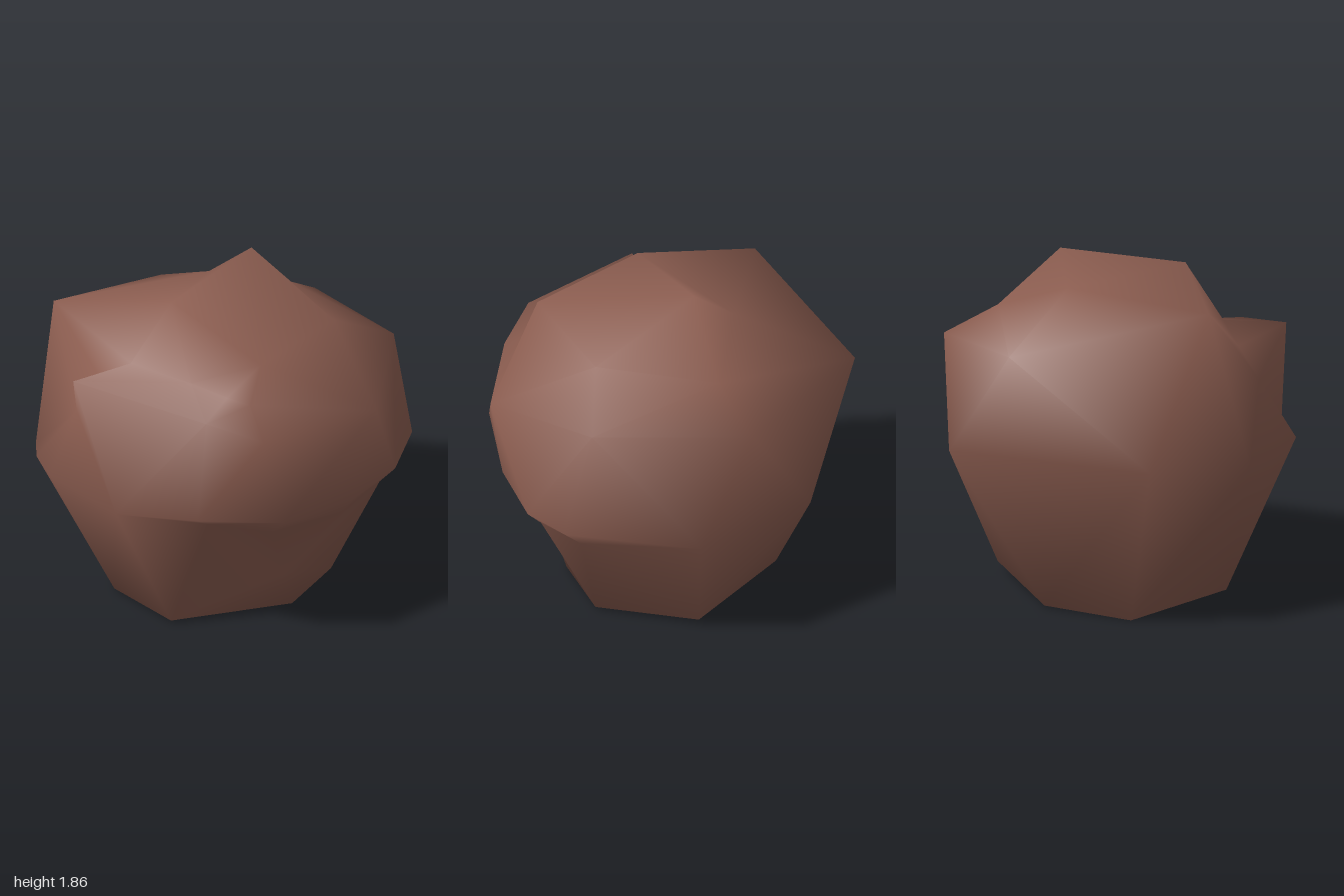
import * as THREE from 'three';
import { ConvexGeometry } from 'three/addons/geometries/ConvexGeometry.js';
import { mergeVertices } from 'three/addons/utils/BufferGeometryUtils.js';

const stone = new THREE.MeshStandardMaterial({ color: 0x8a5c4f });
stone.name = 'brownStone';

// Corners of the boulder, in bands from the ground up
const base = [
  [0.44, 0.02, 0.51], [0.7, 0.05, -0.02], [0.27, 0.01, -0.59], [-0.22, 0, -0.69],
  [-0.64, 0.01, -0.13], [-0.58, 0.02, 0.32], [0.05, 0.01, 0.61], [-0.1, 0.32, 0.69],
];
// Undercut below the front lip
const undercut = [
  [0.75, 0.75, 0.62], [0.5, 0.72, 0.79], [0.13, 0.72, 0.88], [-0.32, 0.76, 0.84], [-0.52, 0.76, 0.58],
  [-0.88, 0.81, 0.27],
];
// Lip round the front, continuing as the widest line at the back
const waist = [
  [1, 0.81, 0.05], [0.82, 0.88, 0.71], [0.54, 0.82, 0.86], [0.15, 0.82, 0.94], [-0.34, 0.88, 0.95],
  [-0.68, 0.9, 0.69], [-1, 0.89, -0.15], [-0.93, 0.87, -0.39], [-0.81, 0.82, -0.59],
  [-0.37, 0.86, -0.98], [0.78, 0.83, -0.59],
];
const shoulder = [
  [0.92, 1.4, -0.22], [0.79, 1.43, 0.55], [0.24, 1.33, 0.98], [0.34, 1.4, -0.94],
  [-0.6, 1.6, -0.65], [0.64, 1.55, -0.12],
];
// Stepped ledge on one side, and the crevice that parts it from the rest
const ledge = [[-0.92, 1.48, 0], [-0.6, 1.41, 0.66]];
const crevice = [
  [-0.38, 1.3, 0.83], [-0.29, 1.39, 0.62], [-0.35, 1.41, 0.52], [-0.43, 1.44, 0.33],
  [-0.58, 1.48, 0.02], [-0.68, 1.36, -0.1], [-0.8, 1.2, -0.17],
];
const crown = [
  [0.3, 1.86, -0.07], [-0.36, 1.78, 0.08], [-0.25, 1.61, 0.65], [0.2, 1.67, -0.31], [0.42, 1.59, 0.46],
];

// Connects the corners on a unit sphere, then moves each back to its true place
function boulderGeometry(corners, centre) {
  const points = corners.map((c) => new THREE.Vector3(...c));
  const dirs = points.map((p) => p.clone().sub(centre).normalize());
  const geometry = new ConvexGeometry(dirs);
  geometry.deleteAttribute('normal');
  const pos = geometry.attributes.position;
  const v = new THREE.Vector3();
  for (let i = 0; i < pos.count; i++) {
    v.fromBufferAttribute(pos, i);
    let best = 0;
    dirs.forEach((d, k) => {
      if (d.distanceToSquared(v) < dirs[best].distanceToSquared(v)) best = k;
    });
    pos.setXYZ(i, points[best].x, points[best].y, points[best].z);
  }
  const smooth = mergeVertices(geometry);
  smooth.computeVertexNormals();
  return smooth;
}

export function createModel() {
  const group = new THREE.Group();
  group.name = 'rock';
  const corners = [...base, ...undercut, ...waist, ...shoulder, ...ledge, ...crevice, ...crown];
  const boulder = new THREE.Mesh(boulderGeometry(corners, new THREE.Vector3(0, 0.85, 0)), stone);
  boulder.name = 'boulder';
  group.add(boulder);
  return group;
}
